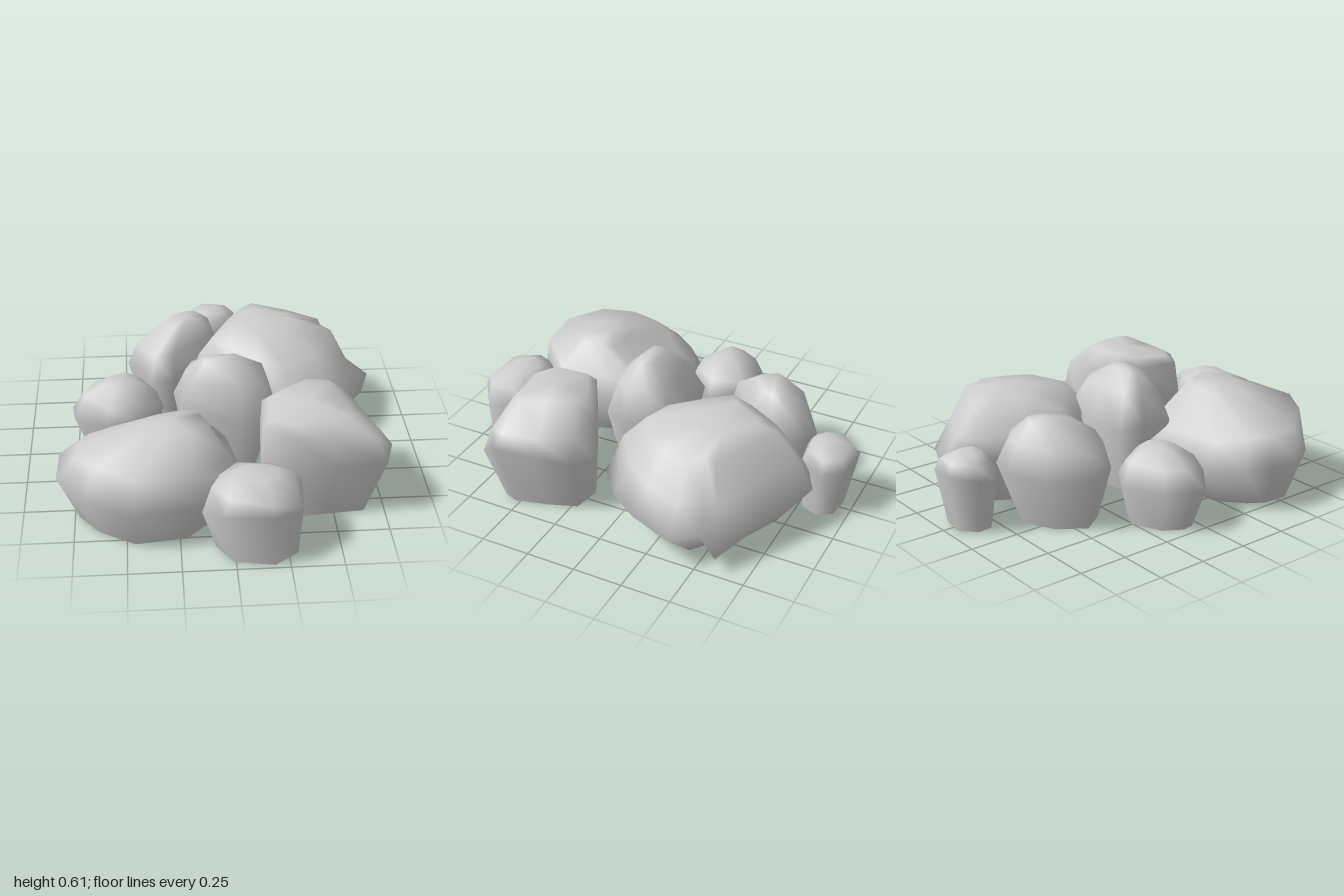
import * as THREE from 'three';

const stone = new THREE.MeshStandardMaterial({ color: 0xcccccc, side: THREE.DoubleSide });
stone.name = 'pale grey stone';

// A hollow rock, open below. outline: widest points [x, z, y], clockwise from above.
// Other rings are the outline scaled about a centre:
// [scaleX, scaleZ, y, centreX, centreZ, slope along x, slope along z].
function rock(name, outline, base, uppers, peakY) {
  const n = outline.length;
  const mx = outline.reduce((s, p) => s + p[0], 0) / n;
  const mz = outline.reduce((s, p) => s + p[1], 0) / n;
  const pos = [], index = [];
  const addRing = ([sx, sz, y, cx, cz, slopeX = 0, slopeZ = 0], bump) => outline.forEach(([x, z], i) => {
    const dx = (x - mx) * sx, dz = (z - mz) * sz;
    pos.push(cx + dx, y + slopeX * dx + slopeZ * dz + bump * Math.sin(i * 2.4 + n), cz + dz);
  });
  addRing(base, 0);
  outline.forEach(([x, z, y]) => pos.push(x, y, z));
  uppers.forEach((ring, k) => addRing(ring, k === uppers.length - 1 ? 0 : 0.01));

  const rings = uppers.length + 2;
  for (let r = 0; r < rings - 1; r++) {
    for (let i = 0; i < n; i++) {
      const a = r * n + i, b = r * n + (i + 1) % n;
      index.push(a, a + n, b + n, a, b + n, b);
    }
  }
  // cap
  const top = uppers[uppers.length - 1];
  pos.push(top[3], peakY, top[4]);
  for (let i = 0; i < n; i++) {
    index.push((rings - 1) * n + i, rings * n, (rings - 1) * n + (i + 1) % n);
  }
  const g = new THREE.BufferGeometry();
  g.setAttribute('position', new THREE.Float32BufferAttribute(pos, 3));
  g.setIndex(index);
  g.computeVertexNormals();
  const mesh = new THREE.Mesh(g, stone);
  mesh.name = name;
  return mesh;
}

export function createModel() {
  const group = new THREE.Group();
  group.name = 'rockCluster';
  group.add(
    rock('backPebble',
      [[-0.07, -1, 0.3], [0.09, -0.98, 0.28], [0.15, -0.88, 0.27], [0.1, -0.76, 0.28],
        [-0.07, -0.73, 0.27], [-0.16, -0.8, 0.26], [-0.17, -0.9, 0.28]],
      [0.72, 0.72, 0, -0.01, -0.85],
      [[0.78, 0.78, 0.34, -0.01, -0.865], [0.38, 0.38, 0.37, -0.01, -0.84]], 0.37),

    rock('backLeftRock',
      [[-0.17, -0.74, 0.28], [-0.06, -0.73, 0.3], [0, -0.67, 0.3], [0.02, -0.57, 0.28],
        [0, -0.45, 0.26], [-0.24, -0.24, 0.27], [-0.36, -0.27, 0.25], [-0.48, -0.45, 0.27],
        [-0.35, -0.64, 0.26]],
      [0.7, 0.68, 0, -0.2, -0.5],
      [[0.82, 0.82, 0.41, -0.19, -0.51, 0.12], [0.4, 0.4, 0.5, -0.16, -0.51]], 0.515),

    rock('leftRock',
      [[-0.5, -0.31, 0.21], [-0.4, -0.26, 0.24], [-0.3, -0.08, 0.22], [-0.41, 0.08, 0.2],
        [-0.6, 0.11, 0.22], [-0.76, -0.02, 0.2], [-0.77, -0.1, 0.22], [-0.7, -0.22, 0.21]],
      [0.74, 0.74, 0, -0.54, -0.1],
      [[0.8, 0.8, 0.31, -0.54, -0.1], [0.38, 0.38, 0.37, -0.52, -0.1]], 0.38),

    rock('centreRock',
      [[-0.02, -0.12, 0.34], [0.18, -0.13, 0.36], [0.24, -0.02, 0.36], [0.26, 0.13, 0.34],
        [0.22, 0.24, 0.35], [0.07, 0.29, 0.33], [-0.23, 0.21, 0.35], [-0.25, 0.02, 0.36],
        [-0.21, -0.1, 0.35]],
      [0.7, 0.7, 0, 0.01, 0.07],
      [[0.78, 0.66, 0.51, 0.03, 0.08], [0.38, 0.24, 0.595, 0, 0.1]], 0.605),

    // broad rock with a notch on its outer side
    rock('largeBackRock',
      [[0.22, -0.87, 0.23], [0.5, -0.73, 0.17], [0.74, -0.6, 0.09], [0.7, -0.5, 0.16],
        [0.82, -0.4, 0.18], [0.75, -0.18, 0.2], [0.64, -0.02, 0.2], [0.39, 0.16, 0.11],
        [0.2, 0.06, 0.18], [-0.02, -0.17, 0.25], [-0.15, -0.33, 0.25], [-0.02, -0.55, 0.27],
        [0.1, -0.8, 0.26]],
      [0.66, 0.6, 0, 0.34, -0.41],
      [[0.82, 0.84, 0.34, 0.33, -0.37, -0.12], [0.66, 0.63, 0.475, 0.31, -0.37, 0, -0.04],
        [0.32, 0.28, 0.52, 0.26, -0.43]], 0.53),

    rock('frontRightRock',
      [[0.3, 0.25, 0.3], [0.47, 0.17, 0.24], [0.65, 0.2, 0.3], [0.72, 0.38, 0.34],
        [0.77, 0.56, 0.36], [0.74, 0.64, 0.31], [0.5, 0.66, 0.3], [0.28, 0.68, 0.27],
        [0.14, 0.6, 0.3], [0.16, 0.33, 0.36]],
      [0.78, 0.84, 0, 0.44, 0.43],
      [[0.9, 0.93, 0.45, 0.45, 0.435, -0.12], [0.6, 0.68, 0.535, 0.39, 0.44, 0.06, -0.08]], 0.545),

    // broad rock with a ridge rising towards the middle
    rock('largeFrontRock',
      [[-0.25, 0.03, 0.24], [-0.05, 0.08, 0.24], [0, 0.28, 0.24], [0.08, 0.6, 0.2],
        [-0.14, 0.83, 0.24], [-0.47, 0.87, 0.22], [-0.7, 0.72, 0.2], [-0.83, 0.54, 0.22],
        [-0.82, 0.36, 0.24], [-0.75, 0.24, 0.22], [-0.6, 0.1, 0.22], [-0.42, 0.06, 0.24]],
      [0.74, 0.7, 0, -0.42, 0.45],
      [[0.8, 0.8, 0.355, -0.4, 0.47, 0, 0.15], [0.36, 0.28, 0.485, -0.28, 0.49, 0.08, 0.04]], 0.505),

    rock('frontRock',
      [[0, 0.64, 0.24], [0.2, 0.63, 0.26], [0.32, 0.72, 0.29], [0.31, 0.9, 0.25],
        [0.17, 1, 0.28], [-0.06, 0.96, 0.26], [-0.15, 0.82, 0.2], [-0.1, 0.72, 0.24]],
      [0.82, 0.84, 0, 0.11, 0.81],
      [[0.83, 0.82, 0.355, 0.09, 0.815, 0, -0.08], [0.45, 0.38, 0.395, 0.1, 0.8]], 0.405),
  );
  return group;
}
